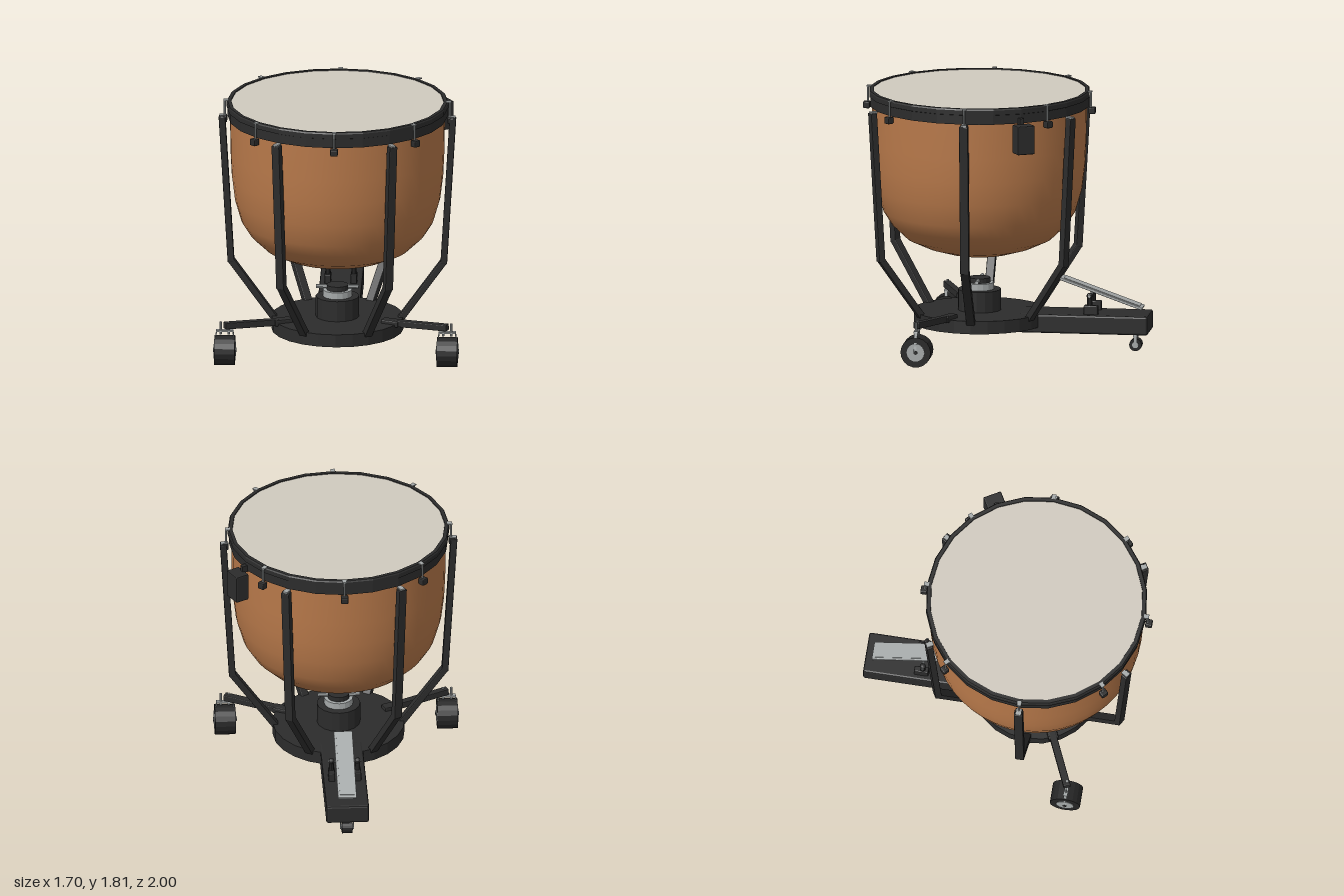
import * as THREE from 'three';
import { RoundedBoxGeometry } from 'three/addons/geometries/RoundedBoxGeometry.js';

export function createModel() {
  const mat = (name, color, extra = {}) => {
    const m = new THREE.MeshStandardMaterial({ color, ...extra });
    m.name = name;
    return m;
  };
  const copper = mat('copper', 0xb8794a, { side: THREE.DoubleSide });
  const skin = mat('drumSkin', 0xd0cabf);
  const dark = mat('darkMetal', 0x2c2c2c, { flatShading: true });
  const rubber = mat('rubber', 0x262626, { flatShading: true });
  const steel = mat('steel', 0xa6aaaa, { flatShading: true });

  const root = new THREE.Group();
  root.name = 'kettledrum';
  const drum = new THREE.Group(); // everything centred on the drum axis
  drum.name = 'drum';
  drum.position.z = 0.19;
  root.add(drum);

  const add = (parent, name, geo, material, x = 0, y = 0, z = 0) => {
    const m = new THREE.Mesh(geo, material);
    m.name = name;
    m.position.set(x, y, z);
    parent.add(m);
    return m;
  };
  const box = (p, name, w, h, d, material, x, y, z) =>
    add(p, name, new THREE.BoxGeometry(w, h, d), material, x, y, z);
  const soft = (p, name, w, h, d, material, x, y, z, r = 0.008) =>
    add(p, name, new RoundedBoxGeometry(w, h, d, 1, r), material, x, y, z);
  const cyl = (p, name, r, h, material, x, y, z, sides = 12) =>
    add(p, name, new THREE.CylinderGeometry(r, r, h, sides), material, x, y, z);
  const radial = (name, deg) => { // group whose +x points outward from the drum axis
    const g = new THREE.Group();
    g.name = name;
    g.rotation.y = THREE.MathUtils.degToRad(deg);
    drum.add(g);
    return g;
  };
  // Bar between two points of the local x-y plane, d wide across it
  const bar = (p, name, a, b, t, d, material, z = 0) => {
    const dx = b[0] - a[0], dy = b[1] - a[1];
    const m = soft(p, name, t, Math.hypot(dx, dy), d, material, (a[0] + b[0]) / 2, (a[1] + b[1]) / 2, z, 0.006);
    m.rotation.z = Math.atan2(-dx, dy);
    return m;
  };
  const pts = (list) => list.map(([x, y]) => new THREE.Vector2(x, y));

  // Kettle bowl, open at the bottom vent
  const bowl = pts([[0.1, 0.655], [0.23, 0.667], [0.375, 0.71], [0.505, 0.77], [0.605, 0.865],
    [0.665, 0.96], [0.71, 1.115], [0.73, 1.28], [0.738, 1.45], [0.742, 1.72]]);
  add(drum, 'bowl', new THREE.LatheGeometry(bowl, 48), copper);

  // Hoop and skin
  const hoop = pts([[0.735, 1.7], [0.758, 1.7], [0.758, 1.765], [0.766, 1.768], [0.766, 1.8],
    [0.76, 1.81], [0.735, 1.81], [0.73, 1.79], [0.735, 1.7]]);
  add(drum, 'hoop', new THREE.LatheGeometry(hoop, 24), dark);
  cyl(drum, 'drumSkin', 0.738, 0.012, skin, 0, 1.798, 0, 24);

  // Tuning lugs
  for (let i = 0; i < 8; i++) {
    const g = radial('tuningLug', i * 45);
    soft(g, 'lugBlock', 0.048, 0.048, 0.052, dark, 0.785, 1.678, 0);
    cyl(g, 'lugRod', 0.007, 0.11, steel, 0.778, 1.755, 0, 8);
    box(g, 'lugClaw', 0.035, 0.008, 0.03, steel, 0.768, 1.81, 0);
  }

  // Six bent struts
  for (let i = 0; i < 6; i++) {
    const g = radial('strut', i * 60);
    bar(g, 'upperStrut', [0.734, 0.645], [0.797, 1.695], 0.046, 0.062, dark);
    bar(g, 'lowerStrut', [0.425, 0.23], [0.738, 0.665], 0.046, 0.06, dark);
    box(g, 'strutBolt', 0.05, 0.012, 0.034, steel, 0.79, 1.699, 0);
  }

  // Tuning gauge box
  const gauge = radial('tuningGauge', 29.5);
  soft(gauge, 'gaugeBox', 0.1, 0.2, 0.13, dark, 0.826, 1.6, 0);
  box(gauge, 'gaugeBracket', 0.05, 0.05, 0.03, dark, 0.77, 1.715, 0);

  // Base disc and centre hub
  cyl(drum, 'baseDisc', 0.456, 0.09, dark, 0, 0.215, 0, 24);
  cyl(drum, 'hub', 0.15, 0.15, dark, 0, 0.33, 0, 16);
  cyl(drum, 'hubCollar', 0.1, 0.052, steel, 0, 0.426, 0, 16);
  cyl(drum, 'hubCap', 0.075, 0.04, dark, 0, 0.466, 0, 16);
  cyl(drum, 'crossRod', 0.014, 0.294, steel, 0, 0.471, 0, 8).rotation.z = Math.PI / 2;

  // Wheel with its axle along x
  const wheel = (p, r, w, hubR) => {
    cyl(p, 'tyre', r, w, rubber, 0, 0, 0, 18).rotation.z = Math.PI / 2;
    cyl(p, 'wheelHub', hubR, w + 0.008, steel, 0, 0, 0, 14).rotation.z = Math.PI / 2;
    cyl(p, 'axle', hubR * 0.22, w + 0.022, dark, 0, 0, 0, 8).rotation.z = Math.PI / 2;
  };

  // Outrigger arms with front wheels
  for (const s of [1, -1]) {
    const arm = radial('outrigger', s > 0 ? -23.5 : 203.5);
    bar(arm, 'arm', [0.36, 0.262], [0.84, 0.283], 0.046, 0.05, dark);
    soft(arm, 'armMount', 0.13, 0.045, 0.07, dark, 0.41, 0.264, 0);

    const caster = new THREE.Group();
    caster.name = 'frontCaster';
    caster.position.set(s * 0.768, 0.105, 0.52);
    root.add(caster);
    wheel(caster, 0.105, 0.142, 0.062);
    for (const k of [1, -1]) {
      bar(caster, 'forkLeg', [k * 0.078, 0], [k * 0.055, 0.145], 0.008, 0.024, steel);
      cyl(caster, 'forkPin', 0.009, 0.09, steel, k * 0.028, 0.16, 0.0, 8);
    }
    box(caster, 'forkBridge', 0.118, 0.012, 0.03, steel, 0, 0.14, 0);
  }

  // Pedal housing
  const pedal = new THREE.Group();
  pedal.name = 'pedalUnit';
  root.add(pedal);
  soft(pedal, 'pedalHousing', 0.296, 0.132, 0.895, dark, 0, 0.197, -0.5525, 0.014);

  // Sloping foot plate
  const plate = new THREE.Group();
  plate.name = 'footPlate';
  plate.position.set(0, 0.4, -0.665);
  plate.rotation.x = -Math.atan2(0.2, 0.57);
  pedal.add(plate);
  soft(plate, 'plate', 0.13, 0.018, 0.605, steel, 0, 0, 0, 0.005);
  box(plate, 'tread', 0.1, 0.006, 0.56, steel, 0, 0.011, 0);

  // Pedal pivot
  for (const s of [1, -1]) {
    soft(pedal, 'pivotBlock', 0.045, 0.07, 0.1, dark, s * 0.09, 0.29, -0.6, 0.008);
    cyl(pedal, 'pivotPost', 0.018, 0.08, dark, s * 0.09, 0.355, -0.59, 10);
    add(pedal, 'pivotKnob', new THREE.SphereGeometry(0.022, 10, 8), dark, s * 0.09, 0.39, -0.59);
  }
  cyl(pedal, 'pivotAxle', 0.01, 0.23, steel, 0, 0.39, -0.59, 8).rotation.z = Math.PI / 2;

  // Small rear wheel
  const rear = new THREE.Group();
  rear.name = 'rearCaster';
  rear.position.set(0, 0.043, -0.9);
  root.add(rear);
  wheel(rear, 0.043, 0.072, 0.022);
  for (const k of [1, -1]) box(rear, 'rearFork', 0.008, 0.1, 0.024, steel, k * 0.045, 0.04, 0);
  box(rear, 'rearForkBridge', 0.098, 0.01, 0.03, steel, 0, 0.062, 0);
  cyl(rear, 'rearStem', 0.014, 0.05, steel, 0, 0.085, 0, 10);

  return root;
}
